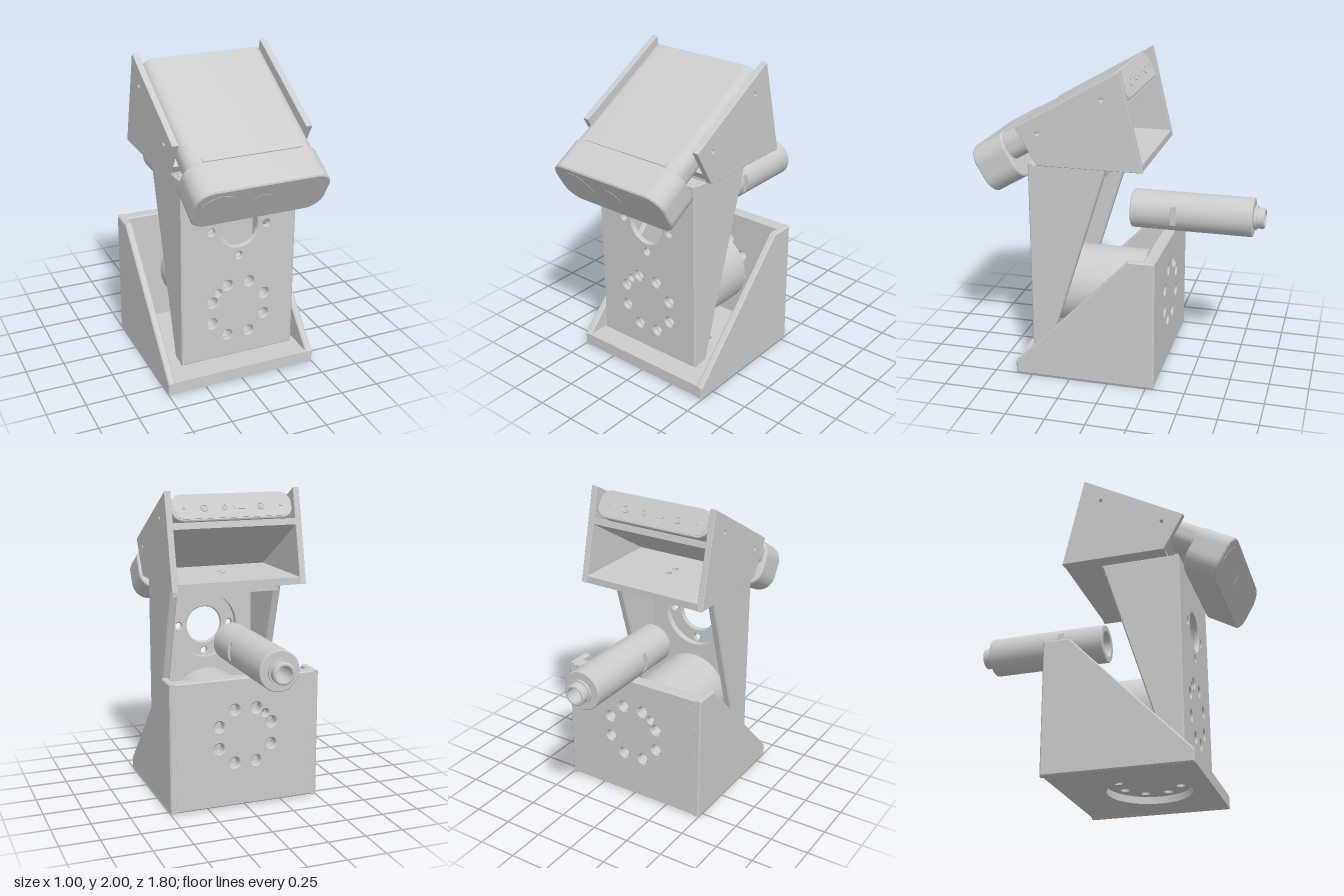
import * as THREE from 'three';
import { toCreasedNormals } from 'three/addons/utils/BufferGeometryUtils.js';

const mat = new THREE.MeshStandardMaterial({ color: 0xcccccc, side: THREE.DoubleSide });

function add(parent, name, geo) {
  const mesh = new THREE.Mesh(toCreasedNormals(geo, 0.5), mat);
  mesh.name = name;
  parent.add(mesh);
}

// Extrudes a shape with round holes [x, y, r] along z from 0 to depth
function plate(shape, holes, depth, bevel = 0) {
  for (const [x, y, r] of holes) shape.holes.push(new THREE.Path().absarc(x, y, r, 0, Math.PI * 2, true));
  return new THREE.ExtrudeGeometry(shape, {
    depth: depth - 2 * bevel, bevelEnabled: bevel > 0, bevelThickness: bevel, bevelSize: bevel,
    bevelOffset: -bevel, bevelSegments: 1, curveSegments: 24,
  }).translate(0, 0, bevel);
}

const polygon = points => new THREE.Shape(points.map(p => new THREE.Vector2(...p)));
const rect = (x0, x1, y0, y1) => polygon([[x0, y0], [x1, y0], [x1, y1], [x0, y1]]);
const disc = (x, y, r) => new THREE.Shape().absarc(x, y, r, 0, Math.PI * 2);

function roundRect(w, y0, y1, r) {
  const s = new THREE.Shape();
  s.absarc(w - r, y0 + r, r, -Math.PI / 2, 0);
  s.absarc(w - r, y1 - r, r, 0, Math.PI / 2);
  s.absarc(-w + r, y1 - r, r, Math.PI / 2, Math.PI);
  s.absarc(-w + r, y0 + r, r, Math.PI, Math.PI * 1.5);
  return s;
}

// Outline given as [z, y], extruded across x from x0 to x1
const crossPlate = (outline, holes, x0, x1, bevel) =>
  plate(polygon(outline), holes, x1 - x0, bevel).rotateY(-Math.PI / 2).translate(x1, 0, 0);

// Shape given as x, -z, extruded upward from y0 to y1
const flatPlate = (shape, holes, y0, y1) =>
  plate(shape, holes, y1 - y0).rotateX(-Math.PI / 2).translate(0, y0, 0);

function sidePair(parent, name, outline, holes, x0, x1, bevel) {
  add(parent, name + 'Left', crossPlate(outline, holes, x0, x1, bevel));
  add(parent, name + 'Right', crossPlate(outline, holes, -x1, -x0, bevel));
}

// Ring of eight bolt holes
const boltRing = (cx, cy, r = 0.033) => Array.from({ length: 8 }, (_, i) => {
  const a = (i + 0.5) * Math.PI / 4;
  return [cx + 0.19 * Math.cos(a), cy + 0.19 * Math.sin(a), r];
});

function group(parent, name) {
  const g = new THREE.Group();
  g.name = name;
  parent.add(g);
  return g;
}

export function createModel() {
  const model = new THREE.Group();
  model.name = 'tiltingScannerMount';
  const motorHoles = [...boltRing(0, 0.47), [-0.135, 0.605, 0.022]];
  const cableHoles = [[0, -0.12, 0.022], [0, -0.2, 0.022]];

  // Lower bracket: gusset sides, back plate and floor with a round recess below
  const base = group(model, 'lowerBracket');
  sidePair(base, 'baseSide',
    [[-0.3, 0], [0.61, 0], [0.61, 0.08], [-0.135, 0.85], [-0.3, 0.85]], [], 0.455, 0.5, 0.008);
  add(base, 'baseBack', plate(rect(-0.47, 0.47, 0.005, 0.85), motorHoles, 0.08, 0.008).translate(0, 0, -0.3));
  add(base, 'baseFloorLower', flatPlate(rect(-0.47, 0.47, -0.61, 0.29), [[0, -0.22, 0.26]], 0.005, 0.05));
  add(base, 'baseFloorUpper', flatPlate(rect(-0.47, 0.47, -0.61, 0.29), boltRing(0, -0.22, 0.028), 0.05, 0.085));

  // Motor between the back plate and the middle bracket
  add(model, 'motor', plate(disc(0, 0.465, 0.26), boltRing(0, 0.47), 0.6).translate(0, 0, -0.15));

  // Middle bracket: front plate, tapered sides and top
  const mid = group(model, 'middleBracket');
  const lensHoles = [[0.183, 1.025, 0.022], [-0.183, 1.025, 0.022], [0, 0.84, 0.022], [0, 1.025, 0.125]];
  add(mid, 'uprightFront', plate(rect(-0.38, 0.38, 0.14, 1.39),
    [...motorHoles, ...lensHoles], 0.035, 0.006).translate(0, 0, 0.495));
  add(mid, 'uprightFrontInner', plate(rect(-0.36, 0.36, 0.145, 1.38),
    [...motorHoles, [0, 1.025, 0.22]], 0.045).translate(0, 0, 0.45));
  sidePair(mid, 'uprightSide',
    [[0.42, 0.142], [0.52, 0.142], [0.52, 1.388], [0.03, 1.388], [0.04, 1.36]], [], 0.33, 0.38, 0.008);
  add(mid, 'uprightTop', flatPlate(rect(-0.36, 0.36, -0.52, -0.045), cableHoles, 1.32, 1.39));

  // Head cradle: side plates, floor and the sloped shelf under the scanner
  const cradle = group(model, 'headCradle');
  sidePair(cradle, 'cradleSide', [[-0.21, 1.4], [0.45, 1.4], [0.58, 1.63], [-0.07, 2]],
    [[0.04, 1.83, 0.011], [0.44, 1.6, 0.011]], 0.405, 0.445, 0.003);
  add(cradle, 'cradleFloor', flatPlate(rect(-0.41, 0.41, -0.45, 0.205), cableHoles, 1.4, 1.445));
  add(cradle, 'cradleShelf', crossPlate(
    [[-0.125, 1.77], [0.455, 1.42], [0.485, 1.465], [-0.116, 1.81]], [], -0.41, 0.41));

  // Scanner, built level and then tilted forward
  const scanner = group(model, 'scanner');
  scanner.position.set(0, 1.63, 0.58);
  scanner.rotation.x = Math.PI / 6;
  add(scanner, 'scannerBody', plate(roundRect(0.4, -0.182, -0.002, 0.075), [], 0.86, 0.006).translate(0, 0, -0.69));
  add(scanner, 'scannerHead', plate(roundRect(0.425, -0.307, 0.006, 0.11), [], 0.226, 0.008).translate(0, 0, 0.139));
  add(scanner, 'ventStrip', new THREE.BoxGeometry(0.62, 0.01, 0.03).translate(0, -0.001, 0.125));
  for (const [x, r] of [[-0.265, 0.12], [0, 0.072]]) {
    add(scanner, 'lens', new THREE.CylinderGeometry(r, r, 0.006, 40).rotateX(Math.PI / 2).translate(x, -0.155, 0.364));
  }

  // Sockets on the scanner's rear face
  add(scanner, 'rearPanel', plate(roundRect(0.385, -0.17, -0.014, 0.065), [], 0.006).translate(0, 0, -0.694));
  for (const [x, r] of [[-0.32, 0.009], [-0.185, 0.025], [0.055, 0.02], [0.19, 0.025], [0.32, 0.009]]) {
    add(scanner, 'socket', new THREE.TorusGeometry(r * 0.8, r * 0.25, 6, 20).translate(x, -0.1, -0.695));
    add(scanner, 'socketPin', new THREE.CylinderGeometry(r * 0.4, r * 0.4, 0.008, 12)
      .rotateX(Math.PI / 2).translate(x, -0.1, -0.694));
  }
  add(scanner, 'slotSocket', plate(roundRect(0.042, -0.114, -0.086, 0.013), [], 0.008)
    .translate(-0.045, 0, -0.699));

  // Hollow camera barrel; profile is [radius, distance back], with wrench flats
  const profile = [[0.05, 0.08], [0.075, 0.08], [0.085, 0], [0.12, 0], [0.125, 0.005], [0.125, 0.26], [0.125, 0.261],
    [0.125, 0.299], [0.125, 0.3], [0.125, 0.775], [0.12, 0.78], [0.065, 0.78], [0.065, 0.787], [0.077, 0.787],
    [0.077, 0.802], [0.067, 0.802], [0.067, 0.844], [0.06, 0.85], [0.05, 0.85], [0.05, 0.08]];
  const barrel = new THREE.LatheGeometry(profile.map(p => new THREE.Vector2(...p)), 48);
  const pos = barrel.attributes.position;
  for (let i = 0; i < pos.count; i++) {
    const y = pos.getY(i);
    if (y > 0.2605 && y < 0.2995) pos.setX(i, THREE.MathUtils.clamp(pos.getX(i), -0.108, 0.108));
  }
  add(model, 'cameraBarrel', barrel.rotateX(-Math.PI / 2).translate(0, 1.025, -0.05));

  return model;
}
